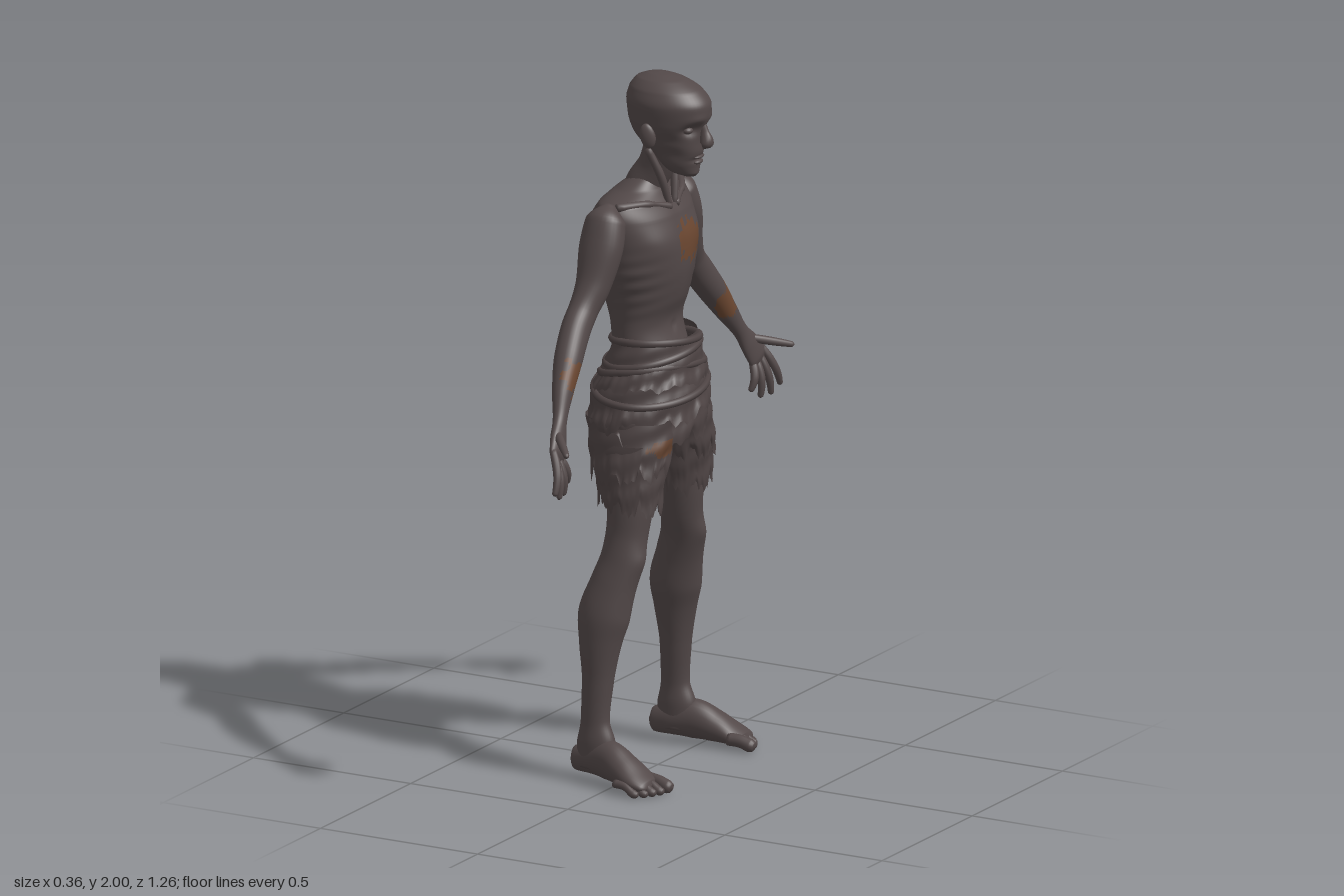
import * as THREE from 'three';

const mat = (name, color, side = THREE.FrontSide) => {
  const m = new THREE.MeshStandardMaterial({ color, side });
  m.name = name;
  return m;
};
const g = (d, s) => Math.exp(-(d * d) / (s * s)); // soft bump
const wrap = a => Math.atan2(Math.sin(a), Math.cos(a));

// Smooth skin over rows of [x, y, z, radiusU, radiusV] along a path.
function loft(rows, { seg = 24, k = 6, ref = [1, 0, 0], flat = false, open = false, shape, paint } = {}) {
  const path = new THREE.CatmullRomCurve3(rows.map(r => new THREE.Vector3(r[0], r[1], r[2])));
  const radii = new THREE.CatmullRomCurve3(rows.map(r => new THREE.Vector3(r[3], r[4], 0)));
  const n = (rows.length - 1) * k, pos = [], tris = [[], []];
  const up = Math.sign(rows[rows.length - 1][1] - rows[0][1]);
  const R = new THREE.Vector3(...ref);
  for (let i = 0; i <= n; i++) {
    const t = i / n, c = path.getPoint(t), r = radii.getPoint(t);
    const T = flat ? new THREE.Vector3(0, up, 0) : path.getTangent(t);
    const u = R.clone().addScaledVector(T, -R.dot(T)).normalize();
    const v = T.clone().cross(u);
    for (let j = 0; j < seg; j++) {
      const a = j / seg * Math.PI * 2;
      const p = c.clone().addScaledVector(u, Math.max(r.x, 0.001) * Math.cos(a))
        .addScaledVector(v, Math.max(r.y, 0.001) * Math.sin(a));
      if (shape) shape(p, wrap(a), t, c);
      pos.push(p.x, p.y, p.z);
    }
  }
  const add = (...ids) => {
    const m = [0, 1, 2].map(d => ids.reduce((s, q) => s + pos[q * 3 + d], 0) / 3);
    tris[paint && paint(...m) ? 1 : 0].push(...ids);
  };
  for (let i = 0; i < n; i++) for (let j = 0; j < seg; j++) {
    const a = i * seg + j, b = i * seg + (j + 1) % seg;
    add(a, b, b + seg);
    add(a, b + seg, a + seg);
  }
  if (!open) for (const end of [0, n]) {
    const c = path.getPoint(end / n), id = pos.length / 3;
    pos.push(c.x, c.y, c.z);
    for (let j = 0; j < seg; j++) {
      const a = end * seg + j, b = end * seg + (j + 1) % seg;
      if (end) add(a, b, id); else add(b, a, id);
    }
  }
  const geo = new THREE.BufferGeometry();
  geo.setAttribute('position', new THREE.Float32BufferAttribute(pos, 3));
  geo.setIndex([...tris[0], ...tris[1]]);
  geo.addGroup(0, tris[0].length, 0);
  if (tris[1].length) geo.addGroup(tris[0].length, tris[1].length, 1);
  geo.computeVertexNormals();
  return geo;
}

// Radial scaling about the section centre
const swell = (p, c, s) => { p.x = c.x + (p.x - c.x) * s; p.z = c.z + (p.z - c.z) * s; };

function torsoShape(p, a, t, c) {
  const b = Math.abs(a), y = p.y;
  let s = 1;
  s -= 0.1 * g(Math.PI - b, 0.2) * g(y - 1.42, 0.2);             // spine groove
  s += 0.05 * g(b - 2.5, 0.3) * g(y - 1.53, 0.08);               // shoulder blades
  s += 0.04 * g(b - 0.6, 0.35) * g(y - 1.53, 0.05);              // chest
  s -= 0.04 * g(b, 0.12) * g(y - 1.5, 0.12);                     // breastbone
  s += 0.015 * Math.sin(y * 150 + b * 3) * g(b - 1.1, 0.5) * g(y - 1.41, 0.08); // ribs
  s -= 0.05 * g(b, 0.5) * g(y - 1.31, 0.04);                     // hollow belly
  s -= 0.07 * g(b, 0.09) * g(y - 1.275, 0.012);                  // navel
  swell(p, c, s);
}

function headShape(p) {
  const z = Math.abs(p.z), { x, y } = p;
  if (x > 0.03) {
    p.x -= 0.022 * g(z - 0.038, 0.022) * g(y - 1.857, 0.018);    // eye sockets
    p.x += 0.006 * g(z - 0.035, 0.03) * g(y - 1.885, 0.013);     // brow
    p.x -= 0.008 * g(z, 0.03) * g(y - 1.767, 0.006);             // mouth line
  }
  p.z *= 1 - 0.14 * g(y - 1.785, 0.025) * g(x - 0.08, 0.045)     // cheek hollows
    + -0.07 * g(y - 1.825, 0.018) * g(x - 0.08, 0.05);           // cheekbones
}

// Torn hem, wrinkles and a slight diagonal drape for cloth
const ragged = (seed, hem, tilt) => (p, a, t, c) => {
  const tooth = f => Math.abs(((a / (2 * Math.PI) + 1) * f + seed * 0.37) % 1 - 0.5) * 2;
  const jag = tooth(9) * 0.5 + tooth(17) * 0.3 + tooth(31) * 0.3 - 0.55;
  swell(p, c, 1 + 0.02 * Math.sin(a * 3 + p.y * 90 + seed) + 0.015 * Math.sin(a * 11 + p.y * 40 + seed * 2) * t);
  p.y += jag * hem * t ** 3 + tilt * Math.sin(a + seed) * t;
};

const fray = (y, z) => 0.25 * Math.sin(y * 190 + z * 60) + 0.2 * Math.sin(z * 230);
const chestStain = (x, y, z) => x > 0 && ((z + 0.035) / 0.07) ** 2 + ((y - 1.52) / 0.06) ** 2 + fray(y, z) < 0.9;
const armStain = (x, y, z) => x > -0.045 && ((Math.abs(z) - 0.425) / 0.05) ** 2 + ((y - 1.22) / 0.06) ** 2 + fray(y, z) < 0.7;
const clothStain = (x, y, z) => x > 0 && ((z - 0.13) / 0.05) ** 2 + ((y - 0.96) / 0.025) ** 2 + fray(y, z) < 0.8;

export function createModel() {
  const model = new THREE.Group();
  model.name = 'raggedMan';
  const skin = mat('skin', 0x524848), rust = mat('rustStain', 0x6a4630);
  const cloth = mat('cloth', 0x4d4343, THREE.DoubleSide), clothRust = mat('clothStain', 0x644330, THREE.DoubleSide);
  const part = (name, geo, mats = [skin, rust]) => {
    const m = new THREE.Mesh(geo, geo.groups.length > 1 ? mats : mats[0]);
    m.name = name;
    model.add(m);
    return m;
  };
  const blob = (name, x, y, z, sx, sy, sz) => {
    const m = part(name, new THREE.SphereGeometry(1, 20, 14));
    m.position.set(x, y, z);
    m.scale.set(sx, sy, sz);
    return m;
  };

  // Torso, neck and head
  part('torso', loft([
    [-0.03, 0.97, 0, 0.05, 0.07], [-0.03, 1.05, 0, 0.12, 0.15], [-0.02, 1.18, 0, 0.1, 0.13],
    [-0.035, 1.28, 0, 0.088, 0.13], [-0.035, 1.36, 0, 0.108, 0.142], [-0.035, 1.45, 0, 0.125, 0.165],
    [-0.04, 1.53, 0, 0.128, 0.178], [-0.05, 1.6, 0, 0.115, 0.19], [-0.05, 1.64, 0, 0.09, 0.18],
    [-0.045, 1.67, 0, 0.065, 0.1], [-0.03, 1.7, 0, 0.04, 0.05],
  ], { seg: 80, k: 10, flat: true, shape: torsoShape, paint: chestStain }));
  part('neck', loft([
    [-0.06, 1.6, 0, 0.06, 0.07], [-0.04, 1.67, 0, 0.056, 0.058], [-0.005, 1.73, 0, 0.052, 0.048], [0.02, 1.8, 0, 0.055, 0.052],
  ]));
  part('head', loft([
    [0.1, 1.715, 0, 0.018, 0.015], [0.085, 1.725, 0, 0.042, 0.033], [0.07, 1.75, 0, 0.06, 0.05],
    [0.055, 1.79, 0, 0.084, 0.067], [0.037, 1.83, 0, 0.104, 0.079], [0.035, 1.87, 0, 0.119, 0.088],
    [0.035, 1.92, 0, 0.125, 0.093], [0.025, 1.96, 0, 0.106, 0.079], [0.012, 1.985, 0, 0.072, 0.053],
    [0.006, 1.997, 0, 0.033, 0.025], [0.005, 2, 0, 0.002, 0.002],
  ], { seg: 56, k: 8, flat: true, shape: headShape }));
  part('nose', loft([
    [0.138, 1.88, 0, 0.01, 0.009], [0.147, 1.845, 0, 0.015, 0.011], [0.156, 1.817, 0, 0.019, 0.02], [0.15, 1.802, 0, 0.006, 0.012],
  ], { seg: 16 }));
  blob('upperLip', 0.13, 1.774, 0, 0.011, 0.006, 0.024);
  blob('lowerLip', 0.128, 1.759, 0, 0.011, 0.007, 0.021);

  for (const s of [1, -1]) {
    const side = s > 0 ? 'positive' : 'negative';
    const rows = list => list.map(([x, y, z, a, b]) => [x, y, z * s, a, b]);
    const limb = (name, list, opt) => part(`${name} ${side}`, loft(rows(list), opt));
    blob(`eye ${side}`, 0.115, 1.855, s * 0.036, 0.015, 0.011, 0.017);
    blob(`ear ${side}`, 0.018, 1.838, s * 0.088, 0.022, 0.036, 0.013).rotation.set(0, s * 0.35, 0.2);
    limb('neckTendon', [[0.0, 1.79, 0.055, 0.012, 0.012], [0.03, 1.71, 0.036, 0.012, 0.011], [0.045, 1.625, 0.014, 0.009, 0.009]], { seg: 12 });
    limb('collarbone', [[0.048, 1.622, 0.015, 0.011, 0.011], [0.022, 1.642, 0.09, 0.011, 0.011], [-0.03, 1.645, 0.175, 0.012, 0.012]], { seg: 12 });

    // Arm running into the palm
    limb('arm', [
      [-0.055, 1.65, 0.17, 0.015, 0.015], [-0.055, 1.61, 0.193, 0.058, 0.05], [-0.055, 1.545, 0.217, 0.064, 0.052],
      [-0.06, 1.44, 0.255, 0.05, 0.048], [-0.068, 1.375, 0.298, 0.041, 0.045], [-0.068, 1.335, 0.335, 0.041, 0.046],
      [-0.058, 1.265, 0.395, 0.04, 0.042], [-0.042, 1.185, 0.455, 0.029, 0.033], [-0.025, 1.12, 0.5, 0.019, 0.024],
      [-0.012, 1.075, 0.531, 0.018, 0.036], [-0.002, 1.04, 0.553, 0.015, 0.041], [0.002, 1.02, 0.566, 0.006, 0.03],
    ], { seg: 32, k: 8, paint: armStain });
    // Fingers: base and tip as [x, y, z]
    [[[0.004, 1.045, 0.583], [0.03, 0.94, 0.626]], [[0, 1.03, 0.568], [0.022, 0.92, 0.588]],
      [[-0.002, 1.022, 0.55], [0.012, 0.92, 0.546]], [[-0.004, 1.02, 0.533], [0.002, 0.945, 0.508]],
      [[-0.008, 1.09, 0.54], [0.072, 1.06, 0.63]],
    ].forEach(([b, e], i) => {
      const at = (t, r) => [...b.map((v, d) => v + (e[d] - v) * t + (d === 0 && i < 4 ? 0.01 * Math.sin(Math.PI * t) : 0)), r, r];
      limb(i < 4 ? `finger ${i + 1}` : 'thumb',
        [at(-0.1, 0.01), at(0.2, 0.012), at(0.5, 0.0115), at(0.75, 0.01), at(0.95, 0.008), at(1, 0.002)], { seg: 12, k: 4 });
    });

    // Leg, foot and toes
    limb('leg', [
      [-0.03, 1, 0.1, 0.1, 0.085], [-0.012, 0.88, 0.125, 0.075, 0.07], [-0.008, 0.78, 0.14, 0.065, 0.06],
      [-0.012, 0.7, 0.152, 0.061, 0.053], [-0.018, 0.63, 0.17, 0.064, 0.05], [-0.037, 0.56, 0.185, 0.068, 0.055],
      [-0.057, 0.48, 0.198, 0.075, 0.062], [-0.064, 0.4, 0.208, 0.061, 0.054], [-0.067, 0.3, 0.215, 0.046, 0.041],
      [-0.072, 0.18, 0.222, 0.042, 0.033], [-0.068, 0.11, 0.223, 0.058, 0.037], [-0.07, 0.045, 0.222, 0.055, 0.035],
    ], { seg: 36, k: 8, shape: (p, a, t, c) => swell(p, c, 1 + 0.1 * g(a, 0.5) * g(p.y - 0.635, 0.03) + 0.06 * g(a, 0.3) * g(p.y - 0.35, 0.15)) });
    limb('foot', [
      [-0.149, 0.06, 0.215, 0.006, 0.006], [-0.135, 0.06, 0.216, 0.035, 0.028], [-0.08, 0.068, 0.221, 0.046, 0.038],
      [-0.02, 0.073, 0.234, 0.056, 0.043], [0.04, 0.056, 0.25, 0.044, 0.05], [0.09, 0.038, 0.262, 0.029, 0.055],
      [0.122, 0.028, 0.265, 0.018, 0.048], [0.132, 0.025, 0.265, 0.005, 0.03],
    ], { ref: [0, 1, 0], seg: 28 });
    [[0.178, 0.229, 0.019], [0.167, 0.257, 0.013], [0.155, 0.28, 0.013], [0.14, 0.3, 0.012], [0.12, 0.318, 0.012]].forEach(([x, z, r], i) =>
      limb(`toe ${i + 1}`, [
        [x - 0.08, 0.034, z - 0.008, r, r], [x - 0.045, 0.031, z - 0.004, r * 0.95, r * 0.9], [x - 0.016, r + 0.003, z, r, r],
        [x - 0.004, r + 0.001, z, r * 0.7, r * 0.7], [x, r, z, 0.002, 0.002],
      ], { ref: [0, 1, 0], seg: 14, k: 4 }));

    // Torn trouser layers around each thigh
    const sleeve = (name, list, seed, hem) => part(`${name} ${side}`,
      loft(rows(list), { seg: 110, k: 8, flat: true, open: true, shape: ragged(seed, hem, 0.012), paint: clothStain }), [cloth, clothRust]);
    sleeve('upperLegCloth', [[-0.03, 1.03, 0.1, 0.13, 0.096], [-0.02, 0.95, 0.113, 0.122, 0.099], [-0.014, 0.88, 0.131, 0.11, 0.094]], 1 + s, 0.07);
    sleeve('lowerLegCloth', [[-0.015, 0.97, 0.115, 0.11, 0.092], [-0.012, 0.88, 0.131, 0.1, 0.086], [-0.008, 0.79, 0.141, 0.09, 0.08]], 4 + s, 0.07);
  }

  // Overlapping hip wraps
  [
    [[[-0.005, 1.255, 0, 0.108, 0.133], [-0.01, 1.19, 0, 0.125, 0.152], [-0.022, 1.11, 0, 0.15, 0.19]], 0.03],
    [[[-0.015, 1.17, 0, 0.126, 0.158], [-0.026, 1.1, 0, 0.146, 0.185], [-0.027, 1.03, 0, 0.156, 0.205]], 0.05],
    [[[-0.025, 1.1, 0, 0.138, 0.178], [-0.027, 1.04, 0, 0.144, 0.194], [-0.026, 0.98, 0, 0.143, 0.207]], 0.06],
  ].forEach(([list, hem], i) => part(`hipWrap ${i + 1}`,
    loft(list, { seg: 140, k: 8, flat: true, open: true, shape: ragged(i * 2 + 1, hem, 0.018) }), [cloth]));

  // Twisted cloth rolls slung around the hips
  [[1.235, -0.008, 0.114, 0.138, 0.015, 0.4], [1.195, -0.01, 0.122, 0.15, 0.025, 2.2], [1.15, -0.016, 0.133, 0.167, 0.03, 0.9], [1.105, -0.022, 0.146, 0.184, 0.025, 3.6]]
    .forEach(([y, cx, rx, rz, tilt, ph], i) => {
      const pts = Array.from({ length: 20 }, (_, j) => {
        const a = j / 20 * Math.PI * 2, dy = tilt * Math.sin(a + ph), f = 1 - dy * 1.8;
        return new THREE.Vector3(cx + rx * f * Math.cos(a), y + dy, rz * f * Math.sin(a));
      });
      part(`clothRoll ${i + 1}`, new THREE.TubeGeometry(new THREE.CatmullRomCurve3(pts, true), 90, 0.011, 8, true), [cloth]);
    });
  return model;
}
